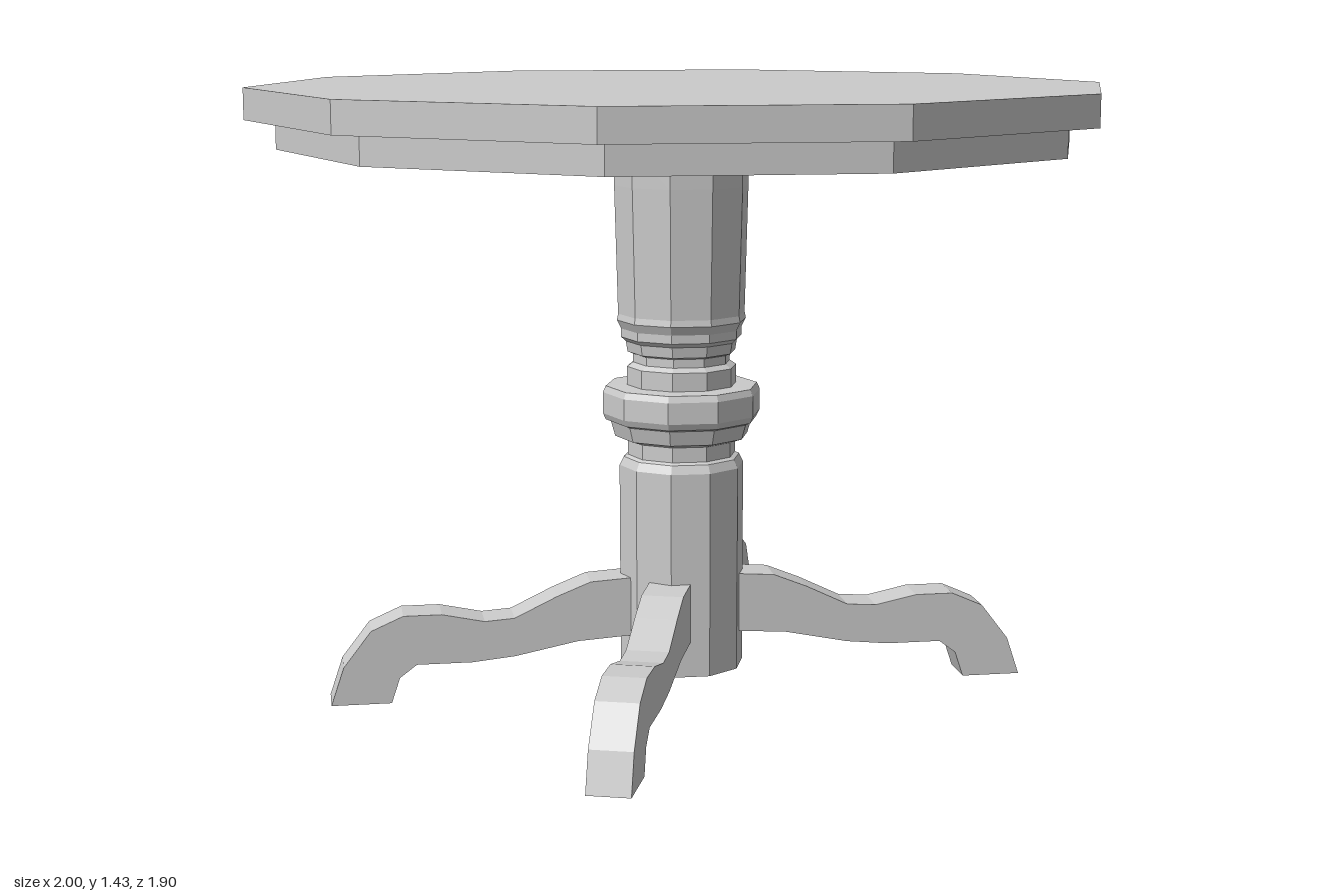
import * as THREE from 'three';

const SIDES = 10;
const material = new THREE.MeshStandardMaterial({ color: 0xcccccc, flatShading: true });

function addMesh(parent, geometry, name) {
  const mesh = new THREE.Mesh(geometry, material);
  mesh.name = name;
  parent.add(mesh);
  return mesh;
}

// Ten-sided slab with a corner on the x axis
function addSlab(parent, radius, bottom, top, name) {
  const geometry = new THREE.CylinderGeometry(radius, radius, top - bottom, SIDES, 1, false, Math.PI / 2);
  addMesh(parent, geometry, name).position.y = (bottom + top) / 2;
}

// Curved foot outline: x is distance from the column, y is height
function legGeometry(width) {
  const outline = [
    [0.1, 0.14], [0.25, 0.13], [0.4, 0.1], [0.5, 0.09], [0.63, 0.09], [0.67, 0.06], [0.69, 0],
    [0.83, 0], [0.8, 0.09], [0.735, 0.175], [0.66, 0.208], [0.57, 0.208], [0.47, 0.187],
    [0.4, 0.192], [0.3, 0.24], [0.22, 0.272], [0.1, 0.28],
  ].map(([r, y]) => new THREE.Vector2(r, y));
  const geometry = new THREE.ExtrudeGeometry(new THREE.Shape(outline), { depth: width, bevelEnabled: false });
  return geometry.translate(0, 0, -width / 2);
}

export function createModel() {
  const table = new THREE.Group();
  table.name = 'pedestalTable';

  // Top and the smaller apron under it
  addSlab(table, 1, 1.357, 1.43, 'tableTop');
  addSlab(table, 0.93, 1.29, 1.357, 'apron');

  // Turned column, from the base up
  const profile = [
    [0, 0.055], [0.147, 0.055], [0.148, 0.54], [0.138, 0.56], [0.128, 0.565], [0.128, 0.6],
    [0.158, 0.61], [0.168, 0.645], [0.18, 0.65], [0.187, 0.665], [0.187, 0.715], [0.18, 0.73],
    [0.13, 0.732], [0.13, 0.775], [0.115, 0.785], [0.115, 0.805], [0.128, 0.81], [0.132, 0.835],
    [0.143, 0.845], [0.143, 0.865], [0.153, 0.885], [0.15, 0.9], [0.158, 1.2], [0.158, 1.29], [0, 1.29],
  ].map(([r, y]) => new THREE.Vector2(r, y));
  addMesh(table, new THREE.LatheGeometry(profile, SIDES, Math.PI / 2), 'column').position.x = -0.003;

  // Four splayed legs, mirrored about both axes
  const geometry = legGeometry(0.098);
  const splay = THREE.MathUtils.degToRad(35.2);
  for (const angle of [splay, Math.PI - splay, Math.PI + splay, -splay]) {
    const leg = addMesh(table, geometry, 'leg');
    leg.rotation.y = angle;
    leg.position.x = -0.01;
  }
  return table;
}
